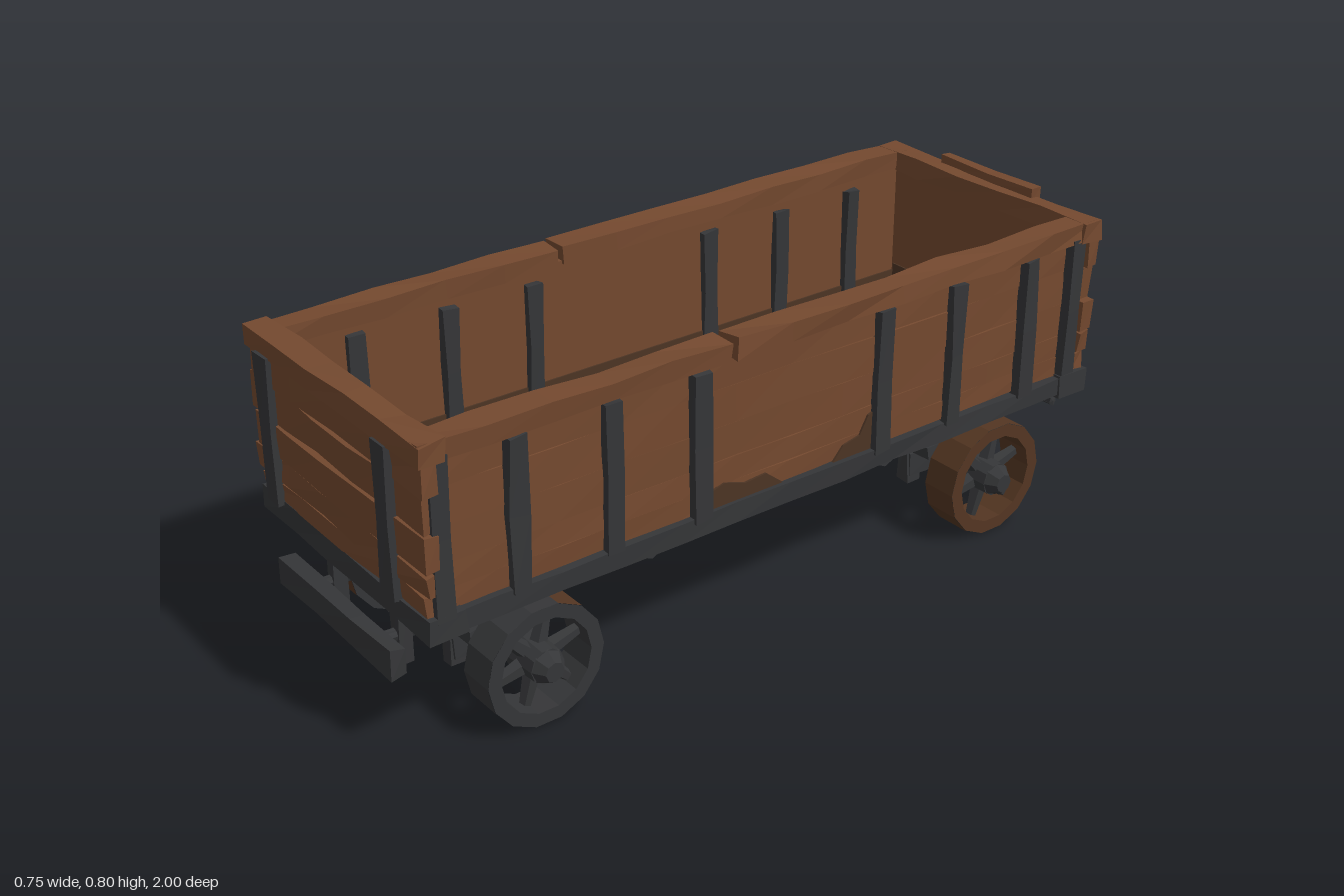
import * as THREE from 'three';

const flat = (name, color) => {
  const m = new THREE.MeshStandardMaterial({ color, flatShading: true });
  m.name = name;
  return m;
};

export function createModel() {
  const wood = flat('wood', 0x74492f);
  const stain = flat('stained wood', 0x4c3424);
  const iron = flat('iron', 0x353638);
  const rust = flat('rusty iron', 0x543622);
  const root = new THREE.Group();
  root.name = 'wagon';

  // Hand-hewn wobble: identical corners always move together
  let seed = 0;
  const rough = (geo, amount) => {
    seed += 7.31;
    const p = geo.attributes.position;
    const q = (v) => Math.round(v * 500 + 0.13);
    for (let i = 0; i < p.count; i++) {
      const k = q(p.getX(i)) * 12.9898 + q(p.getY(i)) * 78.233 + q(p.getZ(i)) * 37.719 + seed;
      const off = [0, 1, 2].map((a) => {
        const s = Math.sin(k + a * 5.17) * 43758.5453;
        return (s - Math.floor(s) - 0.5) * 2 * amount;
      });
      p.setXYZ(i, p.getX(i) + off[0], p.getY(i) + off[1], p.getZ(i) + off[2]);
    }
    geo.computeVertexNormals();
    return geo;
  };

  const add = (name, geo, mat, parent = root) => {
    const m = new THREE.Mesh(geo, mat);
    m.name = name;
    parent.add(m);
    return m;
  };

  // Box between two corners, divided along its length so it can wobble
  const beam = (name, mat, x0, x1, y0, y1, z0, z1, amount = 0.004) => {
    const d = [x1 - x0, y1 - y0, z1 - z0];
    const n = d.map((v) => Math.max(1, Math.round(v / 0.16)));
    const geo = new THREE.BoxGeometry(...d, ...n);
    if (amount) rough(geo, amount);
    const m = add(name, geo, mat);
    m.position.set((x0 + x1) / 2, (y0 + y1) / 2, (z0 + z1) / 2);
  };

  // Round bar between two points
  const bar = (name, mat, a, b, r) => {
    const from = new THREE.Vector3(...a), to = new THREE.Vector3(...b);
    const dir = to.clone().sub(from);
    const m = add(name, rough(new THREE.CylinderGeometry(r, r, dir.length(), 7, 3), 0.003), mat);
    m.position.copy(from).add(to).multiplyScalar(0.5);
    m.quaternion.setFromUnitVectors(new THREE.Vector3(0, 1, 0), dir.normalize());
  };

  // Side profile of [z, y] points, extruded along x
  const sideProfile = (name, mat, points, x0, x1) => {
    const shape = new THREE.Shape(points.map(([z, y]) => new THREE.Vector2(-z, y)));
    const geo = new THREE.ExtrudeGeometry(shape, { depth: x1 - x0, bevelEnabled: false });
    geo.rotateY(Math.PI / 2).translate(x0, 0, 0);
    add(name, geo, mat);
  };

  // Floor with a worn, lighter middle
  beam('floor', stain, -0.32, 0.32, 0.355, 0.39, -0.92, 0.94, 0);
  const worn = new THREE.Shape();
  worn.moveTo(-0.17, -0.82).lineTo(0.17, -0.82).quadraticCurveTo(0.22, -0.82, 0.22, -0.74)
    .lineTo(0.22, 0.75).quadraticCurveTo(0.22, 0.83, 0.16, 0.83)
    .lineTo(-0.15, 0.83).quadraticCurveTo(-0.22, 0.83, -0.22, 0.75)
    .lineTo(-0.22, -0.74).quadraticCurveTo(-0.22, -0.82, -0.17, -0.82);
  const wornMesh = add('wornFloor', new THREE.ShapeGeometry(worn, 5), wood);
  wornMesh.rotation.x = -Math.PI / 2;
  wornMesh.position.y = 0.394;

  // Iron base frame
  for (const s of [-1, 1]) {
    beam('sideRail', iron, s > 0 ? 0.21 : -0.358, s > 0 ? 0.358 : -0.21, 0.335, 0.384, -0.93, 0.95, 0.003);
  }
  beam('frontSill', iron, -0.362, 0.362, 0.33, 0.388, 0.88, 0.968);
  beam('rearSill', iron, -0.362, 0.362, 0.33, 0.388, -0.952, -0.86);
  beam('frontBedPlate', iron, -0.22, 0.22, 0.338, 0.37, 0.56, 0.9, 0.002);
  beam('rearBedPlate', iron, -0.22, 0.22, 0.338, 0.37, -0.88, -0.56, 0.002);

  // Walls: smooth lining with uneven boards outside
  const rows = [0.385, 0.435, 0.495, 0.58, 0.67, 0.745];
  const straps = [0.74, 0.5, 0.27, -0.26, -0.49, -0.73];
  for (const s of [-1, 1]) {
    const span = (a, b) => (s > 0 ? [a, b] : [-b, -a]);
    beam('sideLining', wood, ...span(0.302, 0.332), 0.385, 0.75, -0.92, 0.94, 0);
    beam('sideLiningStain', stain, ...span(0.298, 0.303), 0.39, 0.45, -0.9, 0.92, 0);
    for (let i = 0; i < 5; i++) {
      beam('sideBoard', wood, ...span(0.322, 0.341), rows[i], rows[i + 1], -0.93, 0.945, 0.0025);
    }
    for (const z of straps) {
      beam('sideStrap', iron, ...span(0.33, 0.363), 0.375, 0.735, z - 0.023, z + 0.023);
      beam('innerStrap', iron, ...span(0.284, 0.304), 0.392, 0.72, z - 0.02, z + 0.02);
    }
    for (const z of [0.925, -0.885]) {
      beam('cornerStrap', iron, ...span(0.33, 0.364), 0.375, 0.75, z - 0.023, z + 0.023);
    }
    // Grime at the foot of the side boards
    sideProfile('sideStain', stain, [[0.25, 0.385], [0.25, 0.425], [0.2, 0.44], [0.14, 0.42], [0.08, 0.425], [0.03, 0.385]],
      ...span(0.341, 0.347));
    sideProfile('sideStain', stain, [[-0.12, 0.385], [-0.15, 0.42], [-0.2, 0.43], [-0.225, 0.475], [-0.24, 0.48], [-0.24, 0.385]],
      ...span(0.341, 0.347));
    // Top rim, split where the boards meet
    beam('sideRim', wood, ...span(0.294, 0.36), 0.738, 0.784, 0.19, 0.965, 0.005);
    beam('sideRim', wood, ...span(0.298, 0.364), 0.742, 0.788, -0.945, 0.18, 0.005);
  }

  // End walls
  for (const [s, z] of [[1, 0.945], [-1, -0.928]]) {
    const span = (a, b) => (s > 0 ? [z + a, z + b] : [z - b, z - a]);
    beam('endLining', wood, -0.32, 0.32, 0.385, 0.75, ...span(-0.03, 0), 0);
    beam('endLiningStain', stain, -0.295, 0.295, 0.39, 0.47, ...span(-0.034, -0.029), 0);
    for (let i = 0; i < 5; i++) {
      const l = [0.345, 0.37, 0.352, 0.368, 0.35][i], r = [0.35, 0.362, 0.368, 0.352, 0.366][i];
      beam('endBoard', wood, -l, r, rows[i] + 0.002, rows[i + 1] - 0.002, ...span(-0.012, 0.02), 0.005);
    }
    beam('endStrap', iron, -0.31, -0.256, 0.38, 0.742, ...span(0.005, 0.036), 0.003);
    beam('endStrap', iron, 0.193, 0.246, 0.38, 0.742, ...span(0.005, 0.036), 0.003);
    beam('endRim', wood, -0.364, 0.368, 0.738, 0.788, ...span(-0.035, 0.025), 0.005);
  }
  beam('looseRearBoard', wood, -0.17, 0.158, 0.775, 0.807, -0.965, -0.93, 0.004);

  // Cross bars under the bed, held by wedge-shaped brackets
  for (const s of [-1, 1]) {
    const wedge = [[0.39, 0.337], [0.385, 0.285], [0.35, 0.27], [0.21, 0.337]].map(([z, y]) => [z * s, y]);
    sideProfile('bracket', iron, wedge, -0.28, -0.21);
    sideProfile('bracket', iron, wedge, 0.21, 0.28);
    const c = 0.355 * s;
    beam('crossBar', iron, -0.25, 0.25, 0.272, 0.33, c - 0.03, c + 0.03);
  }

  // Wheel turned about its own y axis; outer side up until it is mounted
  const rimProfile = [[0.149, 0.047], [0.116, 0.047], [0.116, -0.047], [0.149, -0.047]].map((p) => new THREE.Vector2(...p));
  const sector = Math.PI / 7;
  const makeWheel = (side, z, rimMat, arcs) => {
    const g = new THREE.Group();
    g.name = 'wheel';
    add('wheelRim', new THREE.LatheGeometry(rimProfile, 14), rimMat, g);
    for (const [start, count, mat] of arcs) {
      add('wheelTread', new THREE.CylinderGeometry(0.15, 0.15, 0.095, count, 1, true, start * sector, count * sector), mat, g);
    }
    for (let i = 0; i < 6; i++) {
      const spoke = new THREE.CylinderGeometry(0.013, 0.021, 0.09, 5);
      spoke.translate(0, 0.078, 0).rotateX(Math.PI / 2).rotateY(side * ((i * Math.PI) / 3 + 0.25));
      add('spoke', spoke, iron, g);
    }
    add('hub', new THREE.CylinderGeometry(0.043, 0.048, 0.1, 10), iron, g);
    const cap = add('hubCap', new THREE.CylinderGeometry(0.024, 0.043, 0.03, 8), iron, g);
    cap.position.y = 0.063;
    g.rotation.z = -side * Math.PI / 2;
    g.position.set(side * 0.297, 0.155, z);
    root.add(g);
  };
  // Tread arcs: first sector, sector count and colour (sector 0 starts at the front)
  makeWheel(1, 0.68, iron, [[1, 9, rust], [10, 5, iron]]);
  makeWheel(-1, 0.68, iron, [[2, 3, iron], [5, 11, rust]]);
  makeWheel(1, -0.67, rust, [[0, 14, rust]]);
  makeWheel(-1, -0.67, iron, [[0, 14, rust]]);

  // Running gear at both ends
  for (const c of [0.68, -0.67]) {
    bar('axle', iron, [-0.35, 0.157, c], [0.35, 0.157, c], 0.033);
    beam('bolster', iron, -0.25, 0.25, 0.275, 0.338, c - 0.05, c + 0.05);
    for (const x of [-0.14, 0.14]) {
      for (const dz of [-0.1, 0.1]) {
        beam('hanger', iron, x - 0.017, x + 0.017, 0.105, 0.345, c + dz - 0.024, c + dz + 0.024);
      }
      beam('axleCarrier', iron, x - 0.024, x + 0.024, 0.125, 0.19, c - 0.12, c + 0.12);
    }
    for (const dz of [-0.1, 0.1]) {
      beam('hangerTie', iron, -0.22, 0.22, 0.19, 0.225, c + dz - 0.016, c + dz + 0.016);
    }
  }

  // Front bumper with its brackets
  beam('frontBumper', iron, -0.245, 0.24, 0.195, 0.262, 0.963, 0.998);
  for (const x of [-0.14, 0.14]) {
    beam('bumperPost', iron, x - 0.016, x + 0.016, 0.16, 0.345, 0.895, 0.928);
    bar('bumperArm', iron, [x, 0.22, 0.76], [x, 0.23, 0.98], 0.014);
  }

  // Rear coupling bar
  bar('rearBar', iron, [-0.24, 0.238, -0.98], [0.24, 0.238, -0.98], 0.016);
  for (const x of [-0.14, 0.14]) {
    bar('rearArm', iron, [x, 0.21, -0.75], [x, 0.24, -0.985], 0.014);
  }
  return root;
}
